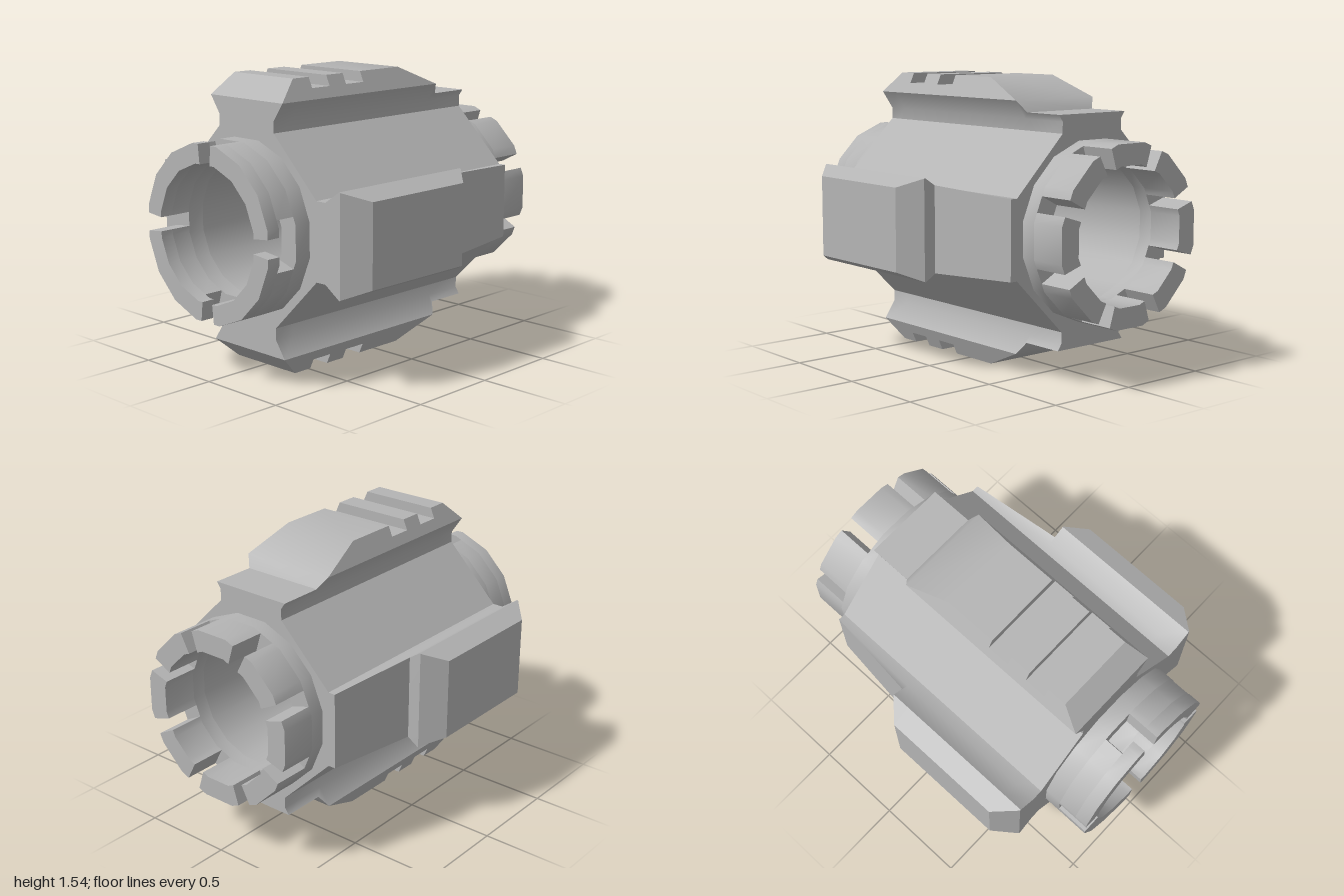
import * as THREE from 'three';
import { toCreasedNormals } from 'three/addons/utils/BufferGeometryUtils.js';

const metal = new THREE.MeshStandardMaterial({ color: 0xb4b4b4 });
metal.name = 'grey metal';

const AXIS_Y = 0.77, BORE = 0.355, STEP = Math.PI / 8;

function part(name, geometry, crease = 0.7) {
  const mesh = new THREE.Mesh(toCreasedNormals(geometry, crease), metal);
  mesh.name = name;
  return mesh;
}

// Point at angle a on a sixteen-sided ring with the given apothem
function ringPoint(apothem, a) {
  const off = a - Math.round(a / STEP) * STEP;
  const r = apothem / Math.cos(off);
  return new THREE.Vector2(r * Math.cos(a), r * Math.sin(a));
}

// Angles from a0 to a1, with every ring corner between them
function arcAngles(a0, a1) {
  const list = [a0];
  for (let k = Math.floor(a0 / STEP) - 1; (k + 0.5) * STEP < a1 - 1e-4; k++) {
    const a = (k + 0.5) * STEP;
    if (a > a0 + 1e-4) list.push(a);
  }
  list.push(a1);
  return list;
}

function extrude(shape, z0, z1) {
  const g = new THREE.ExtrudeGeometry(shape, { depth: z1 - z0, bevelEnabled: false });
  g.translate(0, 0, z0);
  return g;
}

function boreHole() {
  return new THREE.Path(arcAngles(STEP / 2, STEP / 2 + Math.PI * 2).slice(0, -1)
    .map(a => ringPoint(BORE, a)).reverse());
}

function fullRing(name, outer, z0, z1) {
  const shape = new THREE.Shape(arcAngles(STEP / 2, STEP / 2 + Math.PI * 2).slice(0, -1)
    .map(a => ringPoint(outer, a)));
  shape.holes.push(boreHole());
  return part(name, extrude(shape, z0, z1));
}

function ringSector(name, outer, z0, z1, a0, a1) {
  const angles = arcAngles(a0, a1);
  const shape = new THREE.Shape([
    ...angles.map(a => ringPoint(outer, a)),
    ...angles.slice().reverse().map(a => ringPoint(BORE, a)),
  ]);
  return part(name, extrude(shape, z0, z1));
}

// Half width of a rail at height y above the axis: neck, flare, then taper in
function railWidth(y) {
  if (y <= 0.565) return 0.205;
  if (y <= 0.66) return 0.205 + (y - 0.565) / 0.095 * 0.065;
  return 0.27 - (y - 0.66) / 0.11 * 0.05;
}

// Rail lofted along z; each station is [z, height]
function railGeometry(stations) {
  const pos = [], idx = [], n = 8;
  for (const [z, h] of stations) {
    const right = [0.45, Math.min(0.565, h), Math.min(0.66, h), h].map(y => [railWidth(y), y]);
    const left = right.slice().reverse().map(([x, y]) => [-x, y]);
    for (const [x, y] of [...right, ...left]) pos.push(x, y, z);
  }
  for (let i = 0; i < stations.length - 1; i++) {
    for (let j = 0; j < n; j++) {
      const k = (j + 1) % n;
      const a = i * n + j, b = i * n + k, c = b + n, d = a + n;
      idx.push(a, d, c, a, c, b);
    }
  }
  // End caps
  const last = (stations.length - 1) * n, centre = pos.length / 3;
  pos.push(0, 0.45, stations[0][0], 0, 0.45, stations[stations.length - 1][0]);
  for (let j = 0; j < n - 1; j++) {
    idx.push(centre, j, j + 1, centre + 1, last + j + 1, last + j);
  }
  const g = new THREE.BufferGeometry();
  g.setAttribute('position', new THREE.Float32BufferAttribute(pos, 3));
  g.setIndex(idx);
  return g;
}

export function createModel() {
  const model = new THREE.Group();
  model.name = 'railedCollar';
  const core = new THREE.Group();
  core.name = 'collar';
  core.position.y = AXIS_Y;
  model.add(core);

  // Eight-sided body with a round bore
  const s = 0.205, l = 0.505;
  const body = new THREE.Shape([[l, -s], [l, s], [s, l], [-s, l], [-l, s], [-l, -s], [-s, -l], [s, -l]]
    .map(([x, y]) => new THREE.Vector2(x, y)));
  body.holes.push(boreHole());
  core.add(part('body', extrude(body, -0.72, 0.72)));

  // Notched rails above and below, plain rails at the sides
  const notched = railGeometry([
    [0.72, 0.66], [0.6, 0.77], [0.49, 0.77], [0.49, 0.715], [0.365, 0.715], [0.365, 0.77],
    [0.245, 0.77], [0.245, 0.715], [0.115, 0.715], [0.115, 0.77], [-0.18, 0.77],
    [-0.44, 0.66], [-0.48, 0.6], [-0.72, 0.6],
  ]);
  const plain = railGeometry([
    [0.72, 0.665], [0.6, 0.77], [-0.08, 0.77], [-0.185, 0.665], [-0.187, 0.6], [-0.72, 0.545],
  ]);
  ['topRail', 'rightRail', 'bottomRail', 'leftRail'].forEach((name, i) => {
    const rail = part(name, i % 2 ? plain : notched);
    rail.rotation.z = i * Math.PI / 2;
    core.add(rail);
  });

  // Front sleeve: four entry slots, some widening behind the rim
  const R = 0.457, slot = 0.105, wide = 0.29, q = Math.PI / 2;
  core.add(fullRing('frontSleeve', R, 0.72, 0.815));
  const before = [wide, slot, slot, wide];  // clearance on the clockwise side of each slot
  const after = [wide, wide, slot, slot];   // clearance on the other side
  for (let i = 0; i < 4; i++) {
    const next = (i + 1) % 4;
    core.add(ringSector('sleeveWall', R, 0.815, 0.925, i * q + after[i], (i + 1) * q - before[next]));
    core.add(ringSector('sleeveRim', R, 0.925, 1, i * q + slot, (i + 1) * q - slot));
  }

  // Rear sleeve with eight teeth
  const rearR = 0.465, gap = 0.09;
  core.add(fullRing('rearSleeve', rearR, -0.8, -0.72));
  for (let i = 0; i < 8; i++) {
    const a = (i + 0.5) * Math.PI / 4;
    core.add(ringSector('rearTooth', rearR, -1, -0.8, a + gap, a + Math.PI / 4 - gap));
  }
  return model;
}
